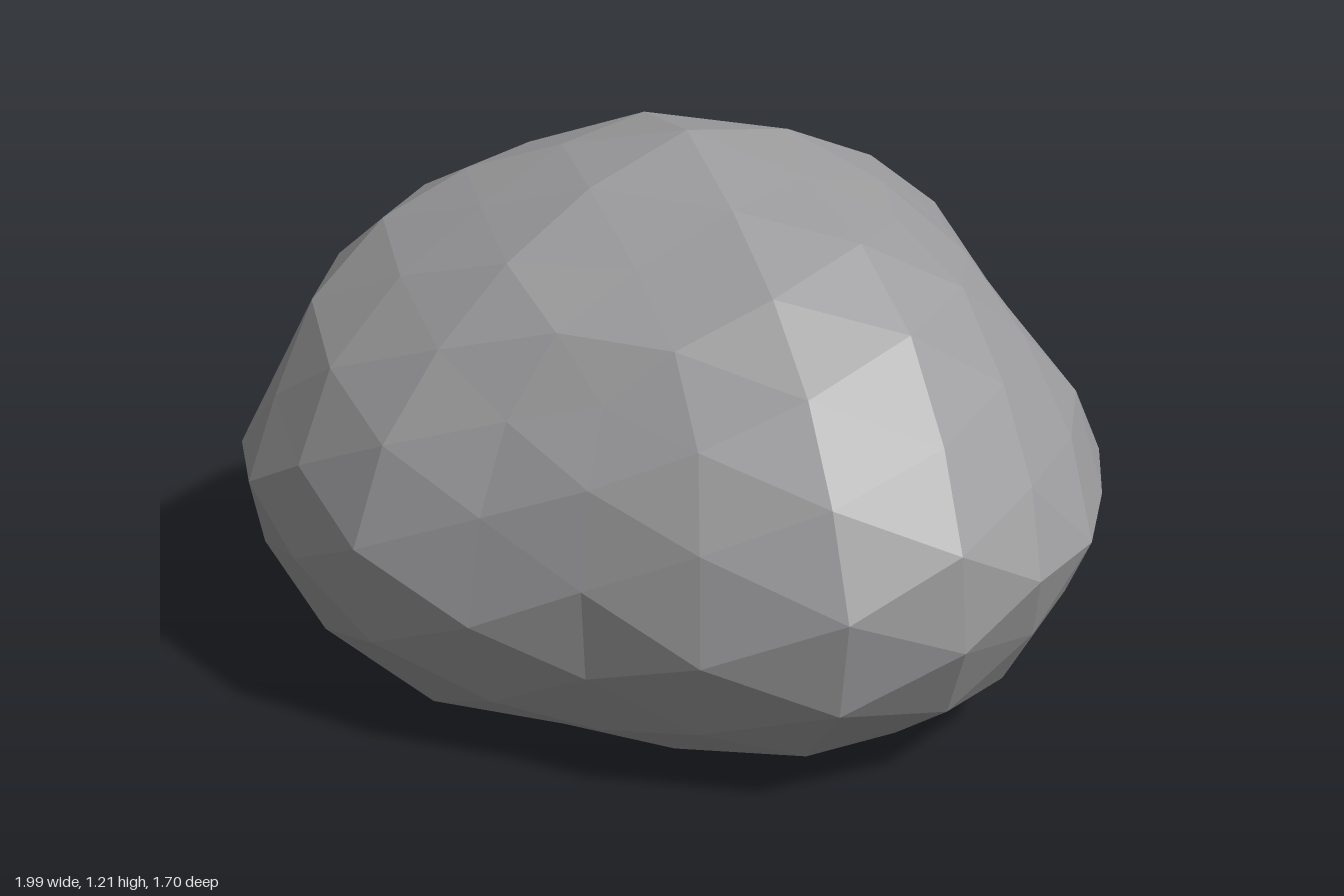
import * as THREE from 'three';

const CENTRE = new THREE.Vector3(0.03, 0.47, 0.03); // middle of the widest belt
const STRETCH = new THREE.Vector3(1, 0.74, 0.86); // how the round mesh is spread

// Vertical outlines [distance from the axis, height], base to crown, for +x, +z, -x, -z
const PROFILES = [
  [[0, -0.27], [0.5, -0.15], [0.63, 0], [0.78, 0.09], [0.89, 0.26], [0.97, 0.47], [0.89, 0.66], [0.76, 0.83], [0.64, 0.96], [0.48, 1.06], [0.26, 1.14], [0, 1.215]],
  [[0, -0.27], [0.42, -0.15], [0.55, 0], [0.74, 0.12], [0.83, 0.34], [0.81, 0.5], [0.76, 0.66], [0.55, 0.94], [0.39, 1.04], [0.21, 1.15], [0, 1.215]],
  [[0, -0.27], [0.5, -0.14], [0.66, 0], [0.86, 0.05], [0.99, 0.25], [1.03, 0.47], [0.94, 0.66], [0.83, 0.86], [0.67, 1], [0.43, 1.12], [0.15, 1.2], [0, 1.215]],
  [[0, -0.27], [0.48, -0.15], [0.63, 0], [0.73, 0.06], [0.88, 0.33], [0.86, 0.58], [0.79, 0.73], [0.74, 0.88], [0.59, 0.98], [0.45, 1.11], [0.23, 1.2], [0, 1.215]],
].map((p) => p.map(([r, y]) => [r, y - CENTRE.y]));
const BELTS = PROFILES.map((p) => Math.max(...p.map(([r]) => r)));

// Outline in plan [x, z], turning from +x towards +z
const PLAN = [
  [0.97, 0], [1, 0.25], [0.92, 0.5], [0.81, 0.68], [0.6, 0.81], [0.3, 0.85], [0.02, 0.82], [-0.22, 0.8],
  [-0.49, 0.76], [-0.69, 0.64], [-0.84, 0.5], [-0.96, 0.27], [-1, 0.02], [-0.95, -0.22], [-0.86, -0.46],
  [-0.51, -0.75], [-0.25, -0.86], [0.03, -0.84], [0.31, -0.86], [0.58, -0.76], [0.72, -0.55], [0.94, -0.2], [0.97, 0],
].map(([x, z]) => [x - CENTRE.x, z - CENTRE.z]);

// Shallow hollows worn into the stone: direction and depth
const HOLLOWS = [
  [new THREE.Vector3(-0.47, 0.81, 0.35), 0.035],
  [new THREE.Vector3(0.1, 0.88, 0.46), 0.02],
  [new THREE.Vector3(0.7, 0.6, -0.4), 0.03],
];

const cross = (ax, ay, bx, by) => ax * by - ay * bx;

// Distance from the origin to a polyline along the direction (c, s)
function rayHit(points, c, s) {
  const i = points.findIndex(([px, py], k) => {
    const [qx, qy] = points[Math.min(k + 1, points.length - 1)];
    return cross(px, py, c, s) >= -1e-6 && cross(c, s, qx, qy) >= -1e-6 && px * c + py * s > 0;
  });
  const [px, py] = points[i];
  const [qx, qy] = points[i + 1];
  return cross(px, py, qx - px, qy - py) / cross(c, s, qx - px, qy - py);
}

// Slight unevenness above and below the belt, plus the hollows
function unevenness(d) {
  let k = 1 + 0.03 * d.y * (1 - d.y * d.y) * (Math.sin(9 * d.x + 1) * Math.cos(8 * d.z) + Math.sin(14 * d.z + 11 * d.x));
  for (const [dir, depth] of HOLLOWS) k -= depth * Math.exp(-d.distanceToSquared(dir) / 0.04);
  return k;
}

function shapeVertex(d) {
  const u = d.clone().multiply(STRETCH).normalize();
  const flat = Math.hypot(u.x, u.z);
  const c = flat > 1e-6 ? u.x / flat : 1;
  const s = flat > 1e-6 ? u.z / flat : 0;
  // Blend the two neighbouring vertical outlines
  const a = c >= 0 ? 0 : 2;
  const b = s >= 0 ? 1 : 3;
  const blend = (p, q) => p * c * c + q * s * s;
  const r = blend(rayHit(PROFILES[a], flat, u.y), rayHit(PROFILES[b], flat, u.y)) * unevenness(d);
  // Widen or narrow to follow the plan outline
  const widen = rayHit(PLAN, c, s) / blend(BELTS[a], BELTS[b]);
  const v = new THREE.Vector3(u.x * r * widen, u.y * r, u.z * r * widen).add(CENTRE);
  v.y = Math.max(0, v.y); // flat underside
  return v;
}

export function createModel() {
  const group = new THREE.Group();
  group.name = 'boulder';

  // Faceted stone
  const geometry = new THREE.IcosahedronGeometry(1, 3);
  const pos = geometry.attributes.position;
  const d = new THREE.Vector3();
  for (let i = 0; i < pos.count; i++) {
    d.fromBufferAttribute(pos, i).normalize();
    // Round so that corners shared by faces stay together
    d.multiplyScalar(1e5).round().divideScalar(1e5);
    const v = shapeVertex(d);
    pos.setXYZ(i, v.x, v.y, v.z);
  }
  geometry.computeVertexNormals();

  const stone = new THREE.Mesh(geometry, new THREE.MeshStandardMaterial({ color: 0x9a9a9c, flatShading: true }));
  stone.name = 'stone';
  group.add(stone);
  return group;
}
